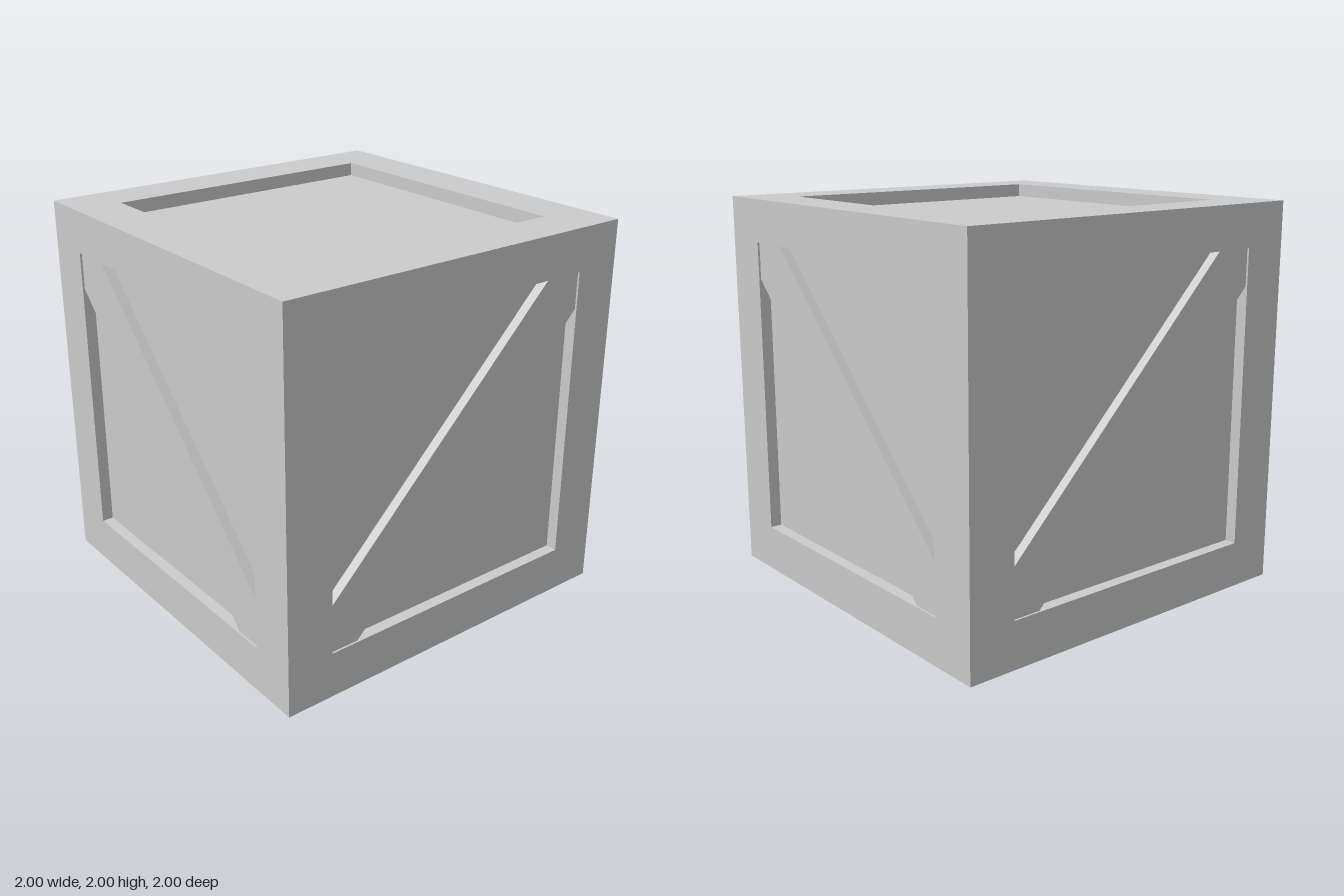
import * as THREE from 'three';

const material = new THREE.MeshStandardMaterial({ color: 0xcccccc, flatShading: true });

function part(name, geometry, x = 0, y = 0, z = 0) {
  const mesh = new THREE.Mesh(geometry, material);
  mesh.name = name;
  mesh.position.set(x, y, z);
  return mesh;
}

export function createModel() {
  const crate = new THREE.Group();
  crate.name = 'crate';

  const inner = 0.75;        // half width of each opening
  const bottom = 0.24;       // lower edge of the side openings
  const top = 1.78;          // upper edge of the side openings
  const beam = 1 - inner;
  const mid = 1 - beam / 2;  // centre line of posts and rails

  // Inner box: its faces are the recessed panels
  const floorY = 0.055, lidY = 1.93;
  crate.add(part('panels', new THREE.BoxGeometry(1.88, lidY - floorY, 1.88), 0, (floorY + lidY) / 2, 0));

  // Diagonal brace outline, its ends cut to the corners of the opening
  const braceShape = new THREE.Shape([
    [-inner, top], [-inner, 1.59], [0.595, bottom],
    [inner, bottom], [inner, 0.485], [-0.545, top],
  ].map(([x, y]) => new THREE.Vector2(x, y)));
  const braceGeometry = new THREE.ExtrudeGeometry(braceShape, { depth: 0.055, bevelEnabled: false });

  const postGeometry = new THREE.BoxGeometry(beam, 2, beam);
  const topRailGeometry = new THREE.BoxGeometry(2 * inner, 2 - top, beam);
  const bottomRailGeometry = new THREE.BoxGeometry(2 * inner, bottom, beam);

  // One post, two rails and a brace for each of the four sides
  ['front', 'left', 'back', 'right'].forEach((name, i) => {
    const side = new THREE.Group();
    side.name = name + 'Side';
    side.add(part('cornerPost', postGeometry, mid, 1, mid));
    side.add(part('topRail', topRailGeometry, 0, (top + 2) / 2, mid));
    side.add(part('bottomRail', bottomRailGeometry, 0, bottom / 2, mid));

    const brace = part('diagonalBrace', braceGeometry, 0, 0, 0.935);
    // Neighbouring sides lean opposite ways: flip about the vertical axis
    if (i % 2) {
      brace.rotation.y = Math.PI;
      brace.position.z = 0.99;
    }
    side.add(brace);

    side.rotation.y = i * Math.PI / 2;
    crate.add(side);
  });

  return crate;
}
